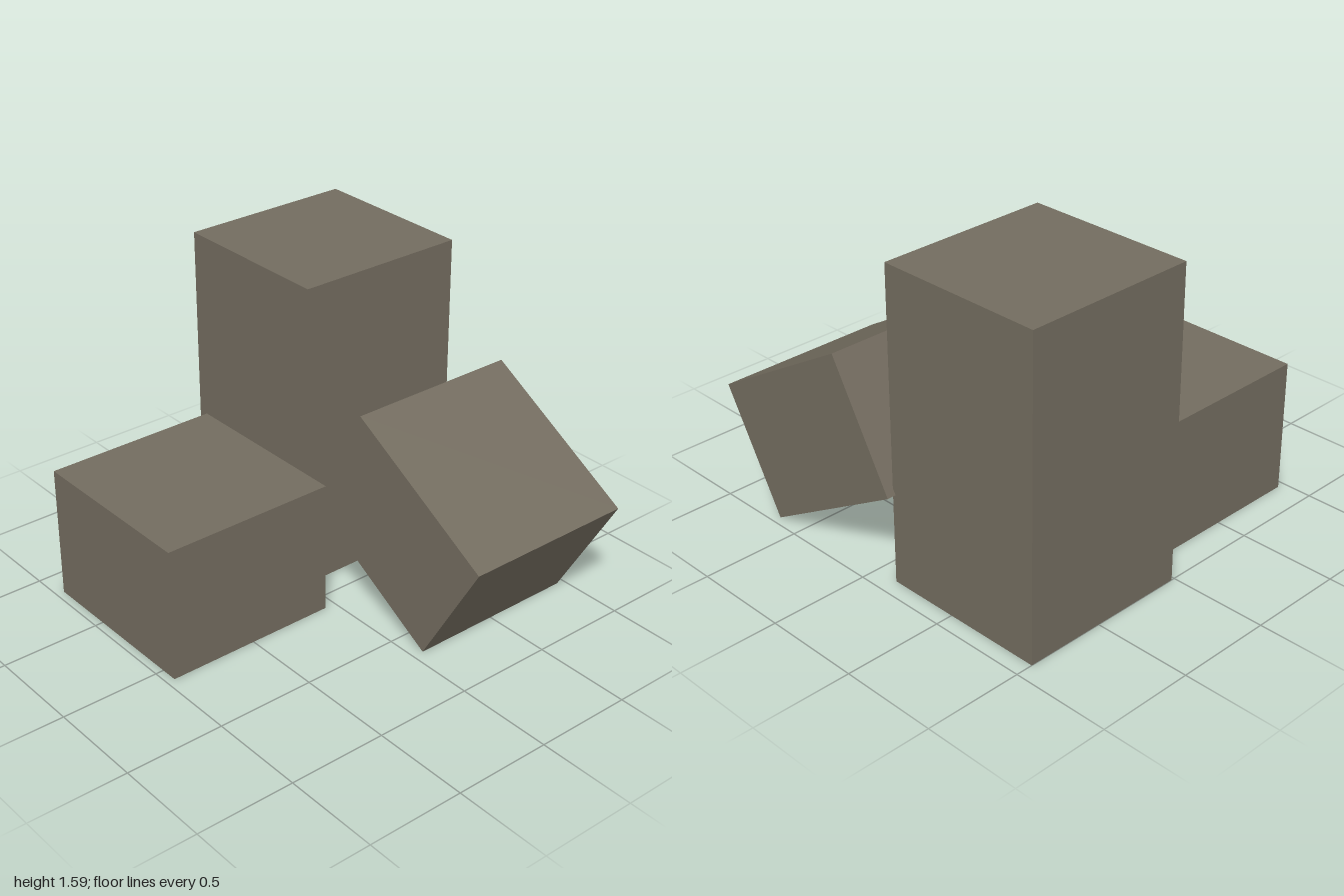
import * as THREE from 'three';

export function createModel() {
  const model = new THREE.Group();
  model.name = 'stoneBlocks';

  const stone = new THREE.MeshStandardMaterial({ color: 0x736c5f });
  stone.name = 'stone';

  // One block, given by its size, centre and tilt about z
  function addBlock(name, size, centre, tilt = 0) {
    const block = new THREE.Mesh(new THREE.BoxGeometry(...size), stone);
    block.name = name;
    block.position.set(...centre);
    block.rotation.z = tilt;
    model.add(block);
  }

  addBlock('tallBlock', [0.868, 1.59, 0.895], [-0.566, 0.795, -0.465]);
  addBlock('lowBlock', [0.93, 0.685, 0.9], [-0.377, 0.3425, 0.508]);
  // Toppled block resting on one edge
  addBlock('toppledBlock', [0.93, 0.685, 0.9], [0.425, 0.53, -0.508], -Math.PI / 6);

  return model;
}
